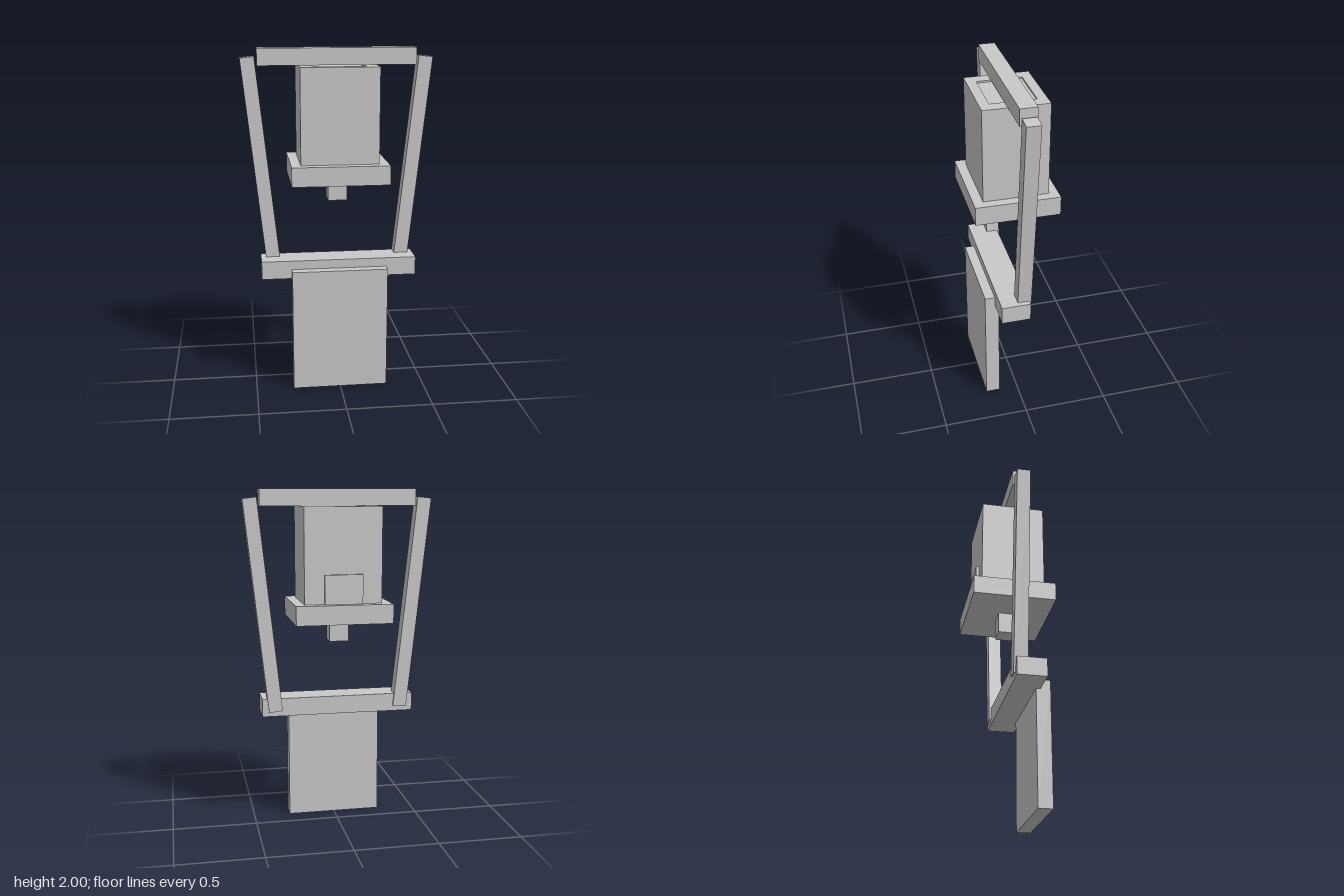
import * as THREE from 'three';

export function createModel() {
  const model = new THREE.Group();
  model.name = 'hangingLantern';
  const grey = new THREE.MeshStandardMaterial({ color: 0xc8c8c8 });
  grey.name = 'lightGrey';

  // Box given by its ranges, centred on x = 0
  function block(name, width, y0, y1, z0, z1) {
    const mesh = new THREE.Mesh(new THREE.BoxGeometry(width, y1 - y0, z1 - z0), grey);
    mesh.name = name;
    mesh.position.set(0, (y0 + y1) / 2, (z0 + z1) / 2);
    model.add(mesh);
  }

  // Corners of a centred rectangle
  function rectangle(x, z) {
    return [[-x, -z], [x, -z], [x, z], [-x, z]].map(([a, b]) => new THREE.Vector2(a, b));
  }

  // Frame: crossbars and the panel hanging in front
  block('topBar', 0.91, 1.903, 2, -0.048, 0.048);
  block('bottomBar', 0.91, 0.675, 0.782, -0.029, 0.14);
  block('frontPanel', 0.56, 0, 0.73, 0.115, 0.198);

  // Slanted side arms, wider apart at the top
  for (const side of [1, -1]) {
    const arm = new THREE.Mesh(new THREE.BoxGeometry(0.081, 1.252, 0.08), grey);
    arm.name = side > 0 ? 'leftArm' : 'rightArm';
    arm.position.set(side * 0.443, 1.327, 0);
    arm.rotation.z = -side * 0.107;
    model.add(arm);
  }

  // Suspended body with its base, spout and rear plate
  block('body', 0.448, 1.357, 1.893, -0.188, 0.188);
  block('bodyBase', 0.56, 1.246, 1.357, -0.244, 0.244);
  block('spout', 0.112, 1.12, 1.246, -0.056, 0.056);
  block('rearPlate', 0.22, 1.357, 1.525, -0.206, -0.188);

  // Raised rim around the shallow recess on top of the body
  const rimShape = new THREE.Shape(rectangle(0.224, 0.188));
  rimShape.holes.push(new THREE.Path(rectangle(0.152, 0.131)));
  const rim = new THREE.Mesh(
    new THREE.ExtrudeGeometry(rimShape, { depth: 0.01, bevelEnabled: false }), grey);
  rim.name = 'bodyTopRim';
  rim.rotation.x = -Math.PI / 2;
  rim.position.y = 1.893;
  model.add(rim);

  return model;
}
